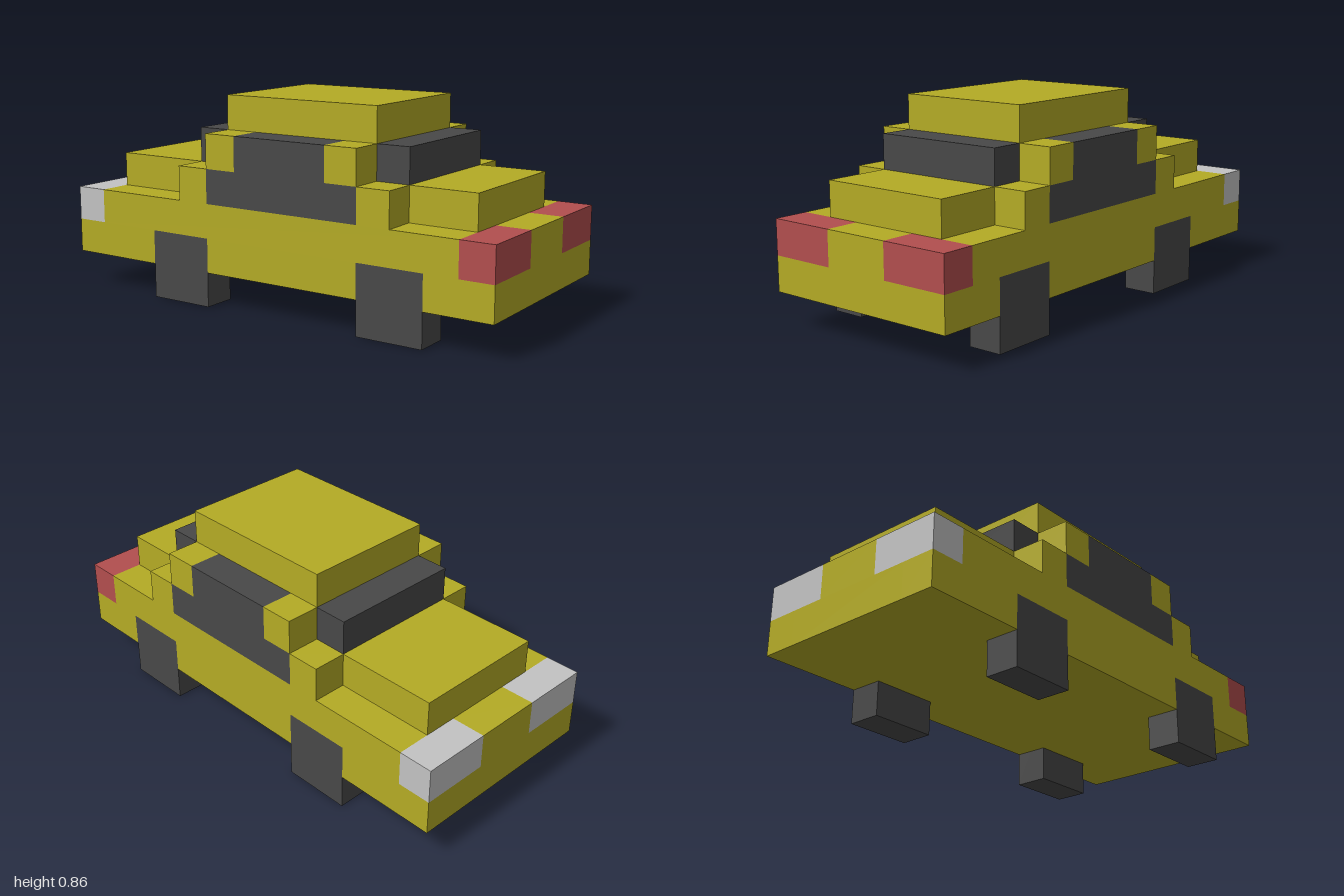
import * as THREE from 'three';

const U = 1 / 7; // one block

const paint = (name, color) => Object.assign(new THREE.MeshStandardMaterial({ color }), { name });

export function createModel() {
  const yellow = paint('yellow paint', 0xb4ab25);
  const dark = paint('dark rubber and glass', 0x484848);
  const red = paint('red tail light', 0xb24e4e);
  const white = paint('pale headlight', 0xc3c3c3);

  const car = new THREE.Group();
  car.name = 'blockCar';

  // Box between two corners, given in block units
  function block(name, material, [x0, x1], [y0, y1], [z0, z1]) {
    const geometry = new THREE.BoxGeometry((x1 - x0) * U, (y1 - y0) * U, (z1 - z0) * U);
    const mesh = new THREE.Mesh(geometry, material);
    mesh.name = name;
    mesh.position.set((x0 + x1) / 2 * U, (y0 + y1) / 2 * U, (z0 + z1) / 2 * U);
    car.add(mesh);
  }

  // Same block on both sides of the car
  function pair(name, material, x, y, [z0, z1]) {
    block(name + 'Left', material, x, y, [z0, z1]);
    block(name + 'Right', material, x, y, [-z1, -z0]);
  }

  // Lower body, with the wheel bays left open
  block('chassis', yellow, [-7, 7], [1, 2], [-2, 2]);
  for (const x of [[-7, -4], [-2, 3], [5, 7]]) pair('sill', yellow, x, [1, 2], [2, 3]);
  for (const x of [[-4, -2], [3, 5]]) pair('wheel', dark, x, [0, 2], [2, 3]);

  // Belt line with lights in the corners
  block('belt', yellow, [-6, 6], [2, 3], [-3, 3]);
  block('noseCentre', yellow, [-7, -6], [2, 3], [-1, 1]);
  block('tailCentre', yellow, [6, 7], [2, 3], [-1, 1]);
  pair('headlight', white, [-7, -6], [2, 3], [1, 3]);
  pair('tailLight', red, [6, 7], [2, 3], [1, 3]);

  // Bonnet, cabin floor and boot in one raised slab
  block('bonnetAndBoot', yellow, [-6, 6], [3, 4], [-2, 2]);

  // Doors: shoulders, pillars and stepped side windows
  pair('frontShoulder', yellow, [-3, -2], [3, 4], [2, 3]);
  pair('rearShoulder', yellow, [3, 4], [3, 4], [2, 3]);
  pair('lowerWindow', dark, [-2, 3], [3, 4], [2, 3]);
  pair('upperWindow', dark, [-1, 2], [4, 5], [2, 3]);
  pair('frontPillar', yellow, [-2, -1], [4, 5], [2, 3]);
  pair('rearPillar', yellow, [2, 3], [4, 5], [2, 3]);

  // Cabin top with front and rear screens
  block('windscreen', dark, [-3, -2], [4, 5], [-2, 2]);
  block('rearScreen', dark, [3, 4], [4, 5], [-2, 2]);
  block('cabinAndRoof', yellow, [-2, 3], [4, 6], [-2, 2]);

  return car;
}
